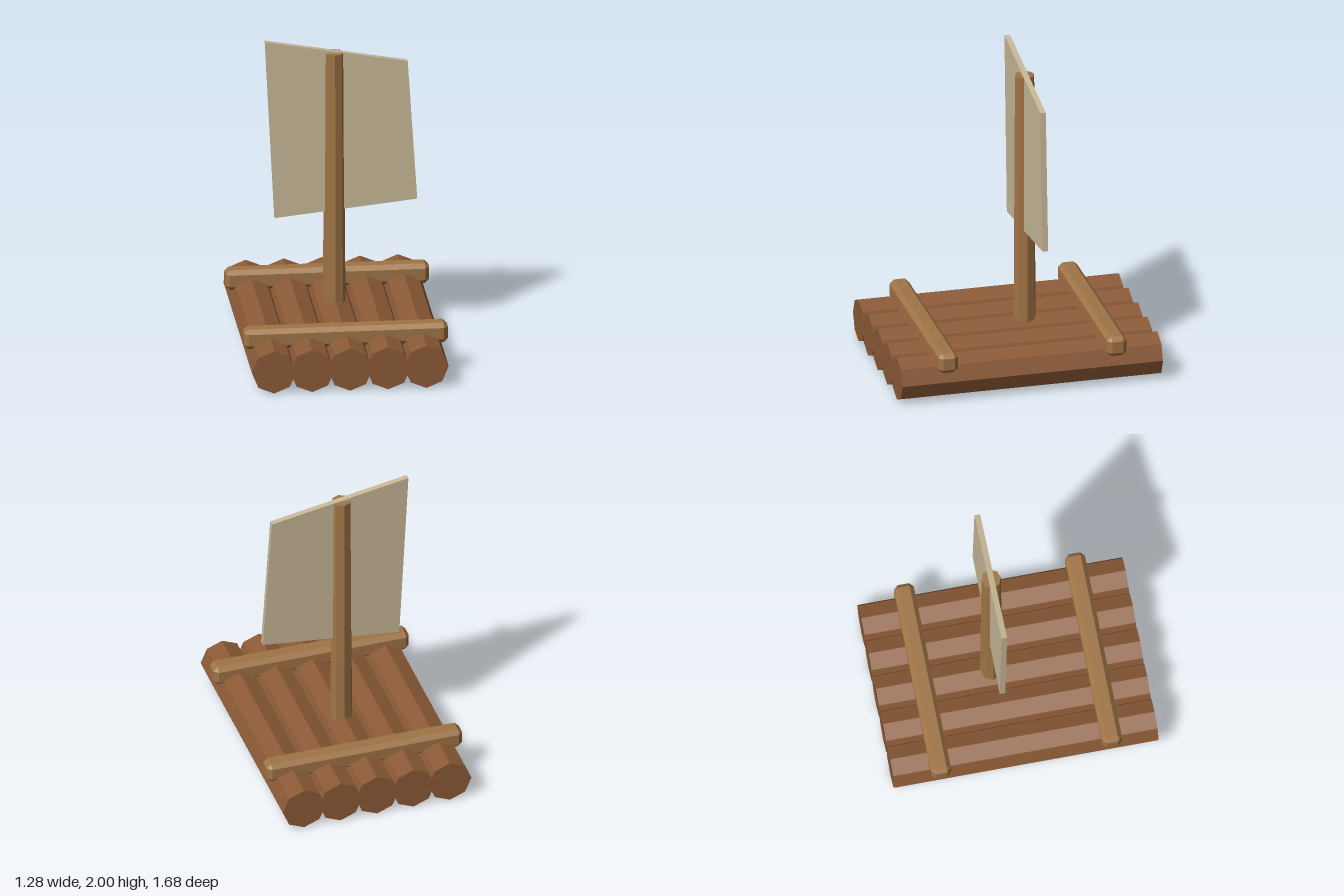
import * as THREE from 'three';
import { ConvexGeometry } from 'three/addons/geometries/ConvexGeometry.js';

// Box with flat chamfers on every edge
function chamferBox(w, h, d, c) {
  const x = w / 2, y = h / 2, z = d / 2, points = [];
  for (const i of [-1, 1]) for (const j of [-1, 1]) for (const k of [-1, 1]) {
    points.push(
      new THREE.Vector3(i * x, j * (y - c), k * (z - c)),
      new THREE.Vector3(i * (x - c), j * y, k * (z - c)),
      new THREE.Vector3(i * (x - c), j * (y - c), k * z)
    );
  }
  return new ConvexGeometry(points);
}

export function createModel() {
  const material = (name, color) => {
    const m = new THREE.MeshStandardMaterial({ color, flatShading: true });
    m.name = name;
    return m;
  };
  const logWood = material('log wood', 0x8b5a36);
  const paleWood = material('pale wood', 0xa07446);
  const canvas = material('sail canvas', 0xc8b898);

  const raft = new THREE.Group();
  raft.name = 'raft';
  const add = (name, geometry, mat, x, y, z) => {
    const mesh = new THREE.Mesh(geometry, mat);
    mesh.name = name;
    mesh.position.set(x, y, z);
    raft.add(mesh);
  };

  // Deck of five eight-sided logs
  const log = new THREE.CylinderGeometry(0.14, 0.14, 1.68, 8).rotateX(Math.PI / 2);
  for (let i = -2; i <= 2; i++) add('log', log, logWood, i * 0.239, 0.145, 0);

  // Crossbeams holding the logs together
  const beam = chamferBox(1.28, 0.13, 0.126, 0.027);
  for (const z of [-0.544, 0.544]) add('crossbeam', beam, paleWood, 0, 0.275, z);

  // Tapered mast standing behind the middle
  const mastZ = -0.107;
  add('mast', new THREE.CylinderGeometry(0.062, 0.071, 1.7, 8), paleWood, 0, 1.06, mastZ);

  // Lopsided four-cornered sail
  const outline = new THREE.Shape([
    [-0.375, 0.83], [0.52, 0.925], [0.46, 1.84], [-0.435, 2.0]
  ].map(([x, y]) => new THREE.Vector2(x, y)));
  const thickness = 0.036;
  const sail = new THREE.ExtrudeGeometry(outline, { depth: thickness, bevelEnabled: false });
  add('sail', sail, canvas, 0, 0, mastZ - thickness / 2);

  return raft;
}
